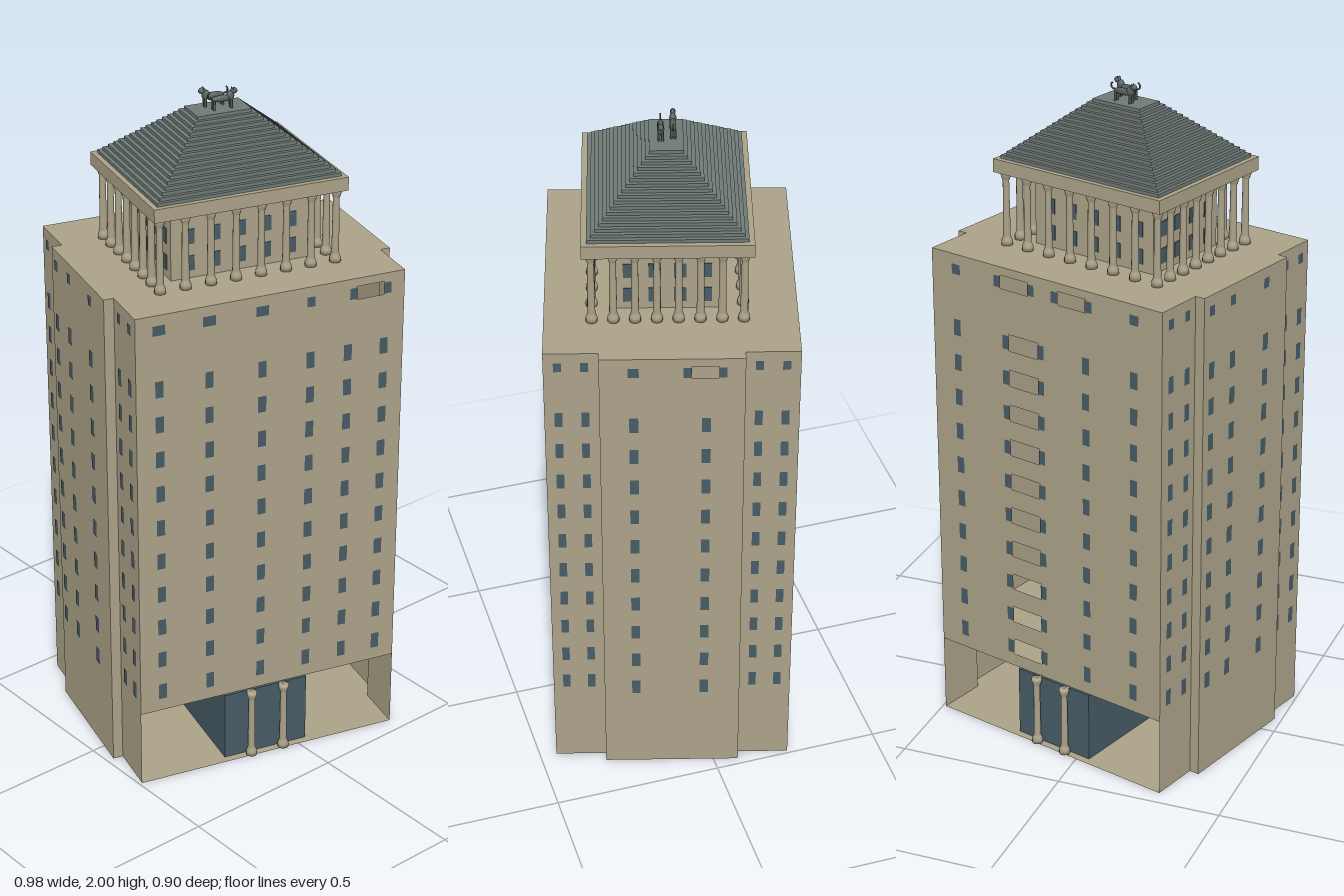
import * as THREE from 'three';
import { mergeGeometries } from 'three/addons/utils/BufferGeometryUtils.js';

const stone = new THREE.MeshStandardMaterial({ color: 0xaba288, side: THREE.DoubleSide });
stone.name = 'stone';
const glass = new THREE.MeshStandardMaterial({ color: 0x465b65 });
glass.name = 'glass';
const slate = new THREE.MeshStandardMaterial({ color: 0x6f7a76 });
slate.name = 'slate';
const bronze = new THREE.MeshStandardMaterial({ color: 0x56605c });
bronze.name = 'bronze';

const TOP = 1.51, SOFFIT = 0.24;
const W = 0.41, D = 0.352, BAY = 0.44, BAYD = 0.2; // half sizes of tower and side bays
const ROWS = Array.from({ length: 10 }, (_, i) => 0.305 + i * 0.109);

function add(parent, name, geometry, material, x = 0, y = 0, z = 0) {
  const mesh = new THREE.Mesh(geometry, material);
  mesh.name = name;
  mesh.position.set(x, y, z);
  parent.add(mesh);
  return mesh;
}

function rect(target, x0, x1, y0, y1) {
  target.moveTo(x0, y0);
  target.lineTo(x1, y0);
  target.lineTo(x1, y1);
  target.lineTo(x0, y1);
  target.closePath();
  return target;
}

// One flat wall with open holes [x, y, w, h] and glass panes [x, y, w, h]
function wall(parent, name, x, z, turn, width, y0, holes = [], panes = []) {
  const group = new THREE.Group();
  group.name = name;
  group.position.set(x, 0, z);
  group.rotation.y = turn;
  const shape = rect(new THREE.Shape(), -width / 2, width / 2, y0, TOP);
  for (const [hx, hy, w, h] of holes)
    shape.holes.push(rect(new THREE.Path(), hx - w / 2, hx + w / 2, hy - h / 2, hy + h / 2));
  add(group, name + 'Panel', new THREE.ShapeGeometry(shape), stone);
  if (panes.length) {
    const planes = panes.map(([px, py, w, h]) => new THREE.PlaneGeometry(w, h).translate(px, py, 0.002));
    add(group, name + 'Windows', mergeGeometries(planes), glass);
  }
  parent.add(group);
}

// Window columns at the given positions, plus the attic row
const grid = (xs, w) => xs.flatMap((x) => ROWS.map((y) => [x, y, w, 0.05]));
const attic = (xs, w) => xs.map((x) => [x, 1.465, w, 0.03]);
// Open bay with a narrow pane at either end
const openBay = (x, y, w, h) => ({
  hole: [x, y, w, h],
  panes: [-1, 1].map((s) => [x + s * (w / 2 + 0.011), y, 0.022, h * 0.85]),
});

// Turned column with base and capital
function columnGeometry(h, r) {
  const p = [[0, 0], [1.5, 0], [1.5, 0.06], [1.15, 0.1], [1, 0.13], [0.85, 0.88], [1.1, 0.91], [1.4, 0.96], [1.4, 1], [0, 1]];
  return new THREE.LatheGeometry(p.map(([a, b]) => new THREE.Vector2(a * r, b * h)), 12);
}

function makeShell(parent) {
  // Front
  const f = openBay(0.303, 1.465, 0.085, 0.04);
  wall(parent, 'frontWall', 0, D, 0, 2 * W, SOFFIT, [f.hole], [
    ...grid([-0.341, -0.191, -0.03, 0.118, 0.235, 0.348], 0.025),
    ...attic([-0.341, -0.191, -0.03], 0.038), ...attic([0.118], 0.025), ...f.panes,
  ]);
  // Back, with a column of open bays
  const bays = [...ROWS.map((y) => openBay(-0.077, y, 0.106, 0.05)),
    openBay(-0.108, 1.465, 0.1, 0.04), openBay(0.098, 1.465, 0.1, 0.04)];
  wall(parent, 'backWall', 0, -D, Math.PI, 2 * W, SOFFIT, bays.map((b) => b.hole), [
    ...grid([-0.32, 0.147, 0.315], 0.025), ...attic([-0.32, 0.315], 0.03), ...bays.flatMap((b) => b.panes),
  ]);
  // Sides: projecting bay, two flanks and two returns each
  for (const s of [1, -1]) {
    const side = s > 0 ? 'left' : 'right';
    const turn = (s * Math.PI) / 2;
    const open = openBay(0.09, 1.465, 0.075, 0.04);
    const xs = s > 0 ? [-0.106, 0.094] : [-0.165, -0.065, 0.097];
    wall(parent, side + 'Bay', s * BAY, 0, turn, 2 * BAYD, 0, s > 0 ? [open.hole] : [],
      [...grid(xs, 0.025), ...(s > 0 ? [...attic([-0.106], 0.03), ...open.panes] : attic(xs, 0.025))]);
    for (const e of [1, -1]) {
      const mid = (D + BAYD) / 2;
      const fx = [-0.037, 0.037];
      wall(parent, side + 'Flank', s * W, e * mid, turn, D - BAYD, 0, [],
        [...grid(fx, 0.022), ...attic(fx, 0.022)]);
      wall(parent, side + 'Return', (s * (W + BAY)) / 2, e * BAYD, e > 0 ? 0 : Math.PI, BAY - W, 0);
    }
  }
  // Floor, soffit and flat roof share the tower outline
  const outline = [[W, D], [W, BAYD], [BAY, BAYD], [BAY, -BAYD], [W, -BAYD], [W, -D],
    [-W, -D], [-W, -BAYD], [-BAY, -BAYD], [-BAY, BAYD], [-W, BAYD], [-W, D]];
  const plan = new THREE.ShapeGeometry(new THREE.Shape(outline.map(([a, b]) => new THREE.Vector2(a, b))));
  plan.rotateX(-Math.PI / 2);
  add(parent, 'floor', plan, stone);
  add(parent, 'soffit', plan, stone, 0, SOFFIT);
  add(parent, 'flatRoof', plan, stone, 0, TOP);
}

// Glazed lobby in the open ground floor
function makeLobby(parent) {
  add(parent, 'lobby', new THREE.BoxGeometry(0.266, 0.218, 0.66), glass, 0, 0.11, 0);
  const column = columnGeometry(0.22, 0.011);
  for (const x of [-0.052, 0.052])
    for (const z of [-0.345, 0.345]) add(parent, 'entranceColumn', column, stone, x, 0.001, z);
}

// Colonnaded crown with stepped roof
function makeCrown(parent) {
  const crown = new THREE.Group();
  crown.name = 'crown';
  crown.position.set(-0.012, 0, 0.009);
  parent.add(crown);

  add(crown, 'innerHall', new THREE.BoxGeometry(0.42, 0.22, 0.3), stone, 0, 1.62, 0);
  for (const y of [1.555, 1.635])
    for (let i = 0; i < 5; i++) {
      add(crown, 'hallWindow', new THREE.BoxGeometry(0.035, 0.045, 0.304), glass, (i - 2) * 0.078, y, 0);
      if (i < 4) add(crown, 'hallSideWindow', new THREE.BoxGeometry(0.424, 0.045, 0.035), glass, 0, y, (i - 1.5) * 0.07);
    }

  const column = columnGeometry(0.22, 0.011);
  const n = 8, cx = 0.268, cz = 0.21;
  for (let i = 0; i < n; i++) {
    const t = (i / (n - 1)) * 2 - 1;
    for (const s of [1, -1]) {
      add(crown, 'crownColumn', column, stone, t * cx, TOP, s * cz);
      if (i > 0 && i < n - 1) add(crown, 'crownColumn', column, stone, s * cx, TOP, t * cz);
    }
  }
  add(crown, 'cornice', new THREE.BoxGeometry(0.586, 0.04, 0.471), stone, 0, 1.75, 0);

  const steps = 17, rise = 0.17 / steps;
  for (let i = 0; i < steps; i++) {
    const t = i / (steps - 1);
    add(crown, 'roofStep', new THREE.BoxGeometry(0.555 - 0.39 * t, rise, 0.44 - 0.345 * t), slate,
      0, 1.77 + rise * (i + 0.5), 0);
  }
}

// Walking beast, head towards +x
function makeBeast(parent, x, z, turn) {
  const beast = new THREE.Group();
  beast.name = 'roofBeast';
  beast.position.set(x, 1.94, z);
  beast.rotation.y = turn;
  parent.add(beast);
  const ball = new THREE.SphereGeometry(1, 12, 8);
  add(beast, 'body', ball, bronze, 0, 0.03, 0).scale.set(0.034, 0.01, 0.009);
  add(beast, 'chest', ball, bronze, 0.024, 0.035, 0).scale.set(0.012, 0.015, 0.01);
  add(beast, 'head', ball, bronze, 0.035, 0.048, 0).scale.set(0.011, 0.009, 0.008);
  const leg = new THREE.CylinderGeometry(0.004, 0.0035, 0.028, 6);
  for (const lx of [-0.026, 0.026])
    for (const lz of [-0.005, 0.005]) add(beast, 'leg', leg, bronze, lx, 0.014, lz);
  for (const s of [1, -1])
    add(beast, 'ear', new THREE.ConeGeometry(0.003, 0.008, 6), bronze, 0.031, 0.056, s * 0.005);
  const tail = new THREE.CatmullRomCurve3([[-0.03, 0.032], [-0.041, 0.034], [-0.043, 0.045], [-0.037, 0.052]]
    .map(([a, b]) => new THREE.Vector3(a, b, 0)));
  add(beast, 'tail', new THREE.TubeGeometry(tail, 8, 0.0025, 6), bronze);
}

export function createModel() {
  const model = new THREE.Group();
  model.name = 'towerBuilding';
  const tower = new THREE.Group();
  tower.name = 'tower';
  tower.rotation.y = -0.2775; // the block stands at an angle to the street
  model.add(tower);
  makeShell(tower);
  makeLobby(tower);
  makeCrown(tower);
  makeBeast(tower, -0.018, -0.01, Math.PI);
  makeBeast(tower, -0.006, 0.024, 0);
  return model;
}
